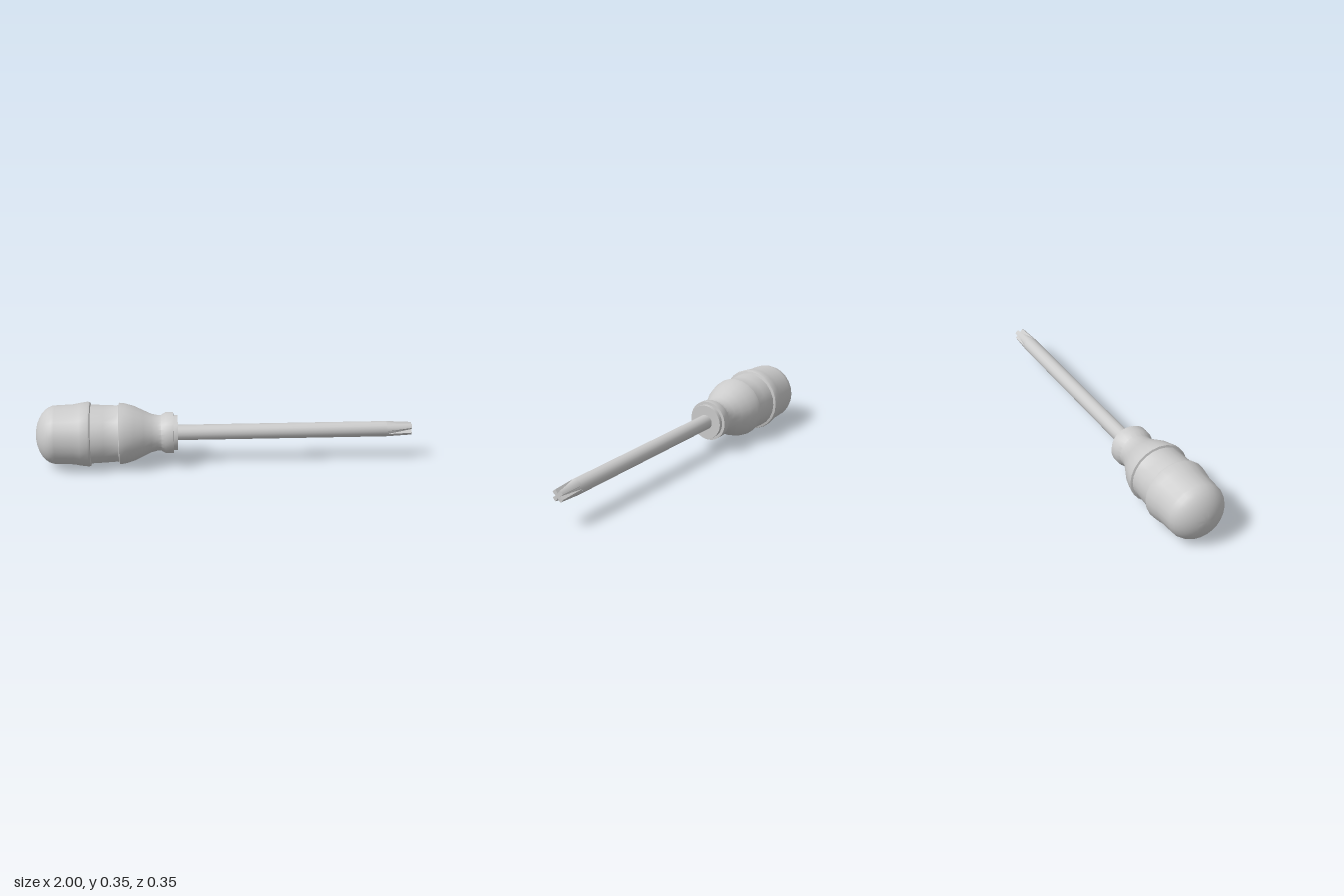
import * as THREE from 'three';
import { toCreasedNormals } from 'three/addons/utils/BufferGeometryUtils.js';

const AXIS_Y = 0.173;
const SHAFT_R = 0.041;

const material = new THREE.MeshStandardMaterial({ color: 0xcccccc });

function addPart(group, name, geometry) {
  const mesh = new THREE.Mesh(toCreasedNormals(geometry, 0.55), material);
  mesh.name = name;
  group.add(mesh);
}

// Turned part along the x axis; the profile lists [x, radius] from left to right
function turned(profile, segments) {
  const points = profile.map(([x, r]) => new THREE.Vector2(r, x));
  return new THREE.LatheGeometry(points, segments).rotateZ(-Math.PI / 2);
}

// Fluted cross tip: round at the back, four tapered V-grooves toward the end
function crossTip(x0, x1) {
  const angles = [0, 24, 45, 66];
  const n = 16;
  const ring = (x, apex, arm) => {
    const out = [];
    for (let i = 0; i < n; i++) {
      const a = THREE.MathUtils.degToRad(angles[i % 4] + 90 * Math.floor(i / 4));
      const r = i % 4 === 0 ? apex : arm;
      out.push(x, r * Math.cos(a), r * Math.sin(a));
    }
    return out;
  };
  const positions = [...ring(x0, SHAFT_R, SHAFT_R), ...ring(x1, 0.013, 0.034), x1, 0, 0];
  const index = [];
  for (let i = 0; i < n; i++) {
    const j = (i + 1) % n;
    index.push(i, j, n + i, j, n + j, n + i); // sides
    index.push(2 * n, n + i, n + j); // end face
  }
  const geometry = new THREE.BufferGeometry();
  geometry.setAttribute('position', new THREE.Float32BufferAttribute(positions, 3));
  geometry.setIndex(index);
  return geometry;
}

export function createModel() {
  const group = new THREE.Group();
  group.name = 'screwdriver';
  const body = new THREE.Group();
  body.name = 'body';
  body.position.y = AXIS_Y;
  group.add(body);

  // Rounded butt of the handle
  const dome = [];
  for (let i = 0; i <= 7; i++) {
    const t = (i / 7) * 1.4;
    dome.push([-0.89 - 0.11 * Math.cos(t), 0.157 * Math.sin(t)]);
  }

  // Handle with two stepped ridges, a waisted neck and a collar
  addPart(body, 'handle', turned([
    ...dome,
    [-0.895, 0.156], [-0.8, 0.16], [-0.765, 0.167], [-0.722, 0.173],
    [-0.712, 0.17], [-0.708, 0.157],
    [-0.64, 0.154], [-0.57, 0.15], [-0.562, 0.153],
    [-0.558, 0.164], [-0.53, 0.161], [-0.48, 0.146], [-0.43, 0.122],
    [-0.39, 0.103], [-0.36, 0.096], [-0.338, 0.096], [-0.315, 0.109],
    [-0.273, 0.11], [-0.272, 0.094], [-0.25, 0.094], [-0.25, 0],
  ], 24));

  // Steel shaft
  addPart(body, 'shaft', turned([[-0.26, SHAFT_R], [0.865, SHAFT_R]], 16));

  // Cross tip
  addPart(body, 'tip', crossTip(0.865, 1));

  return group;
}
